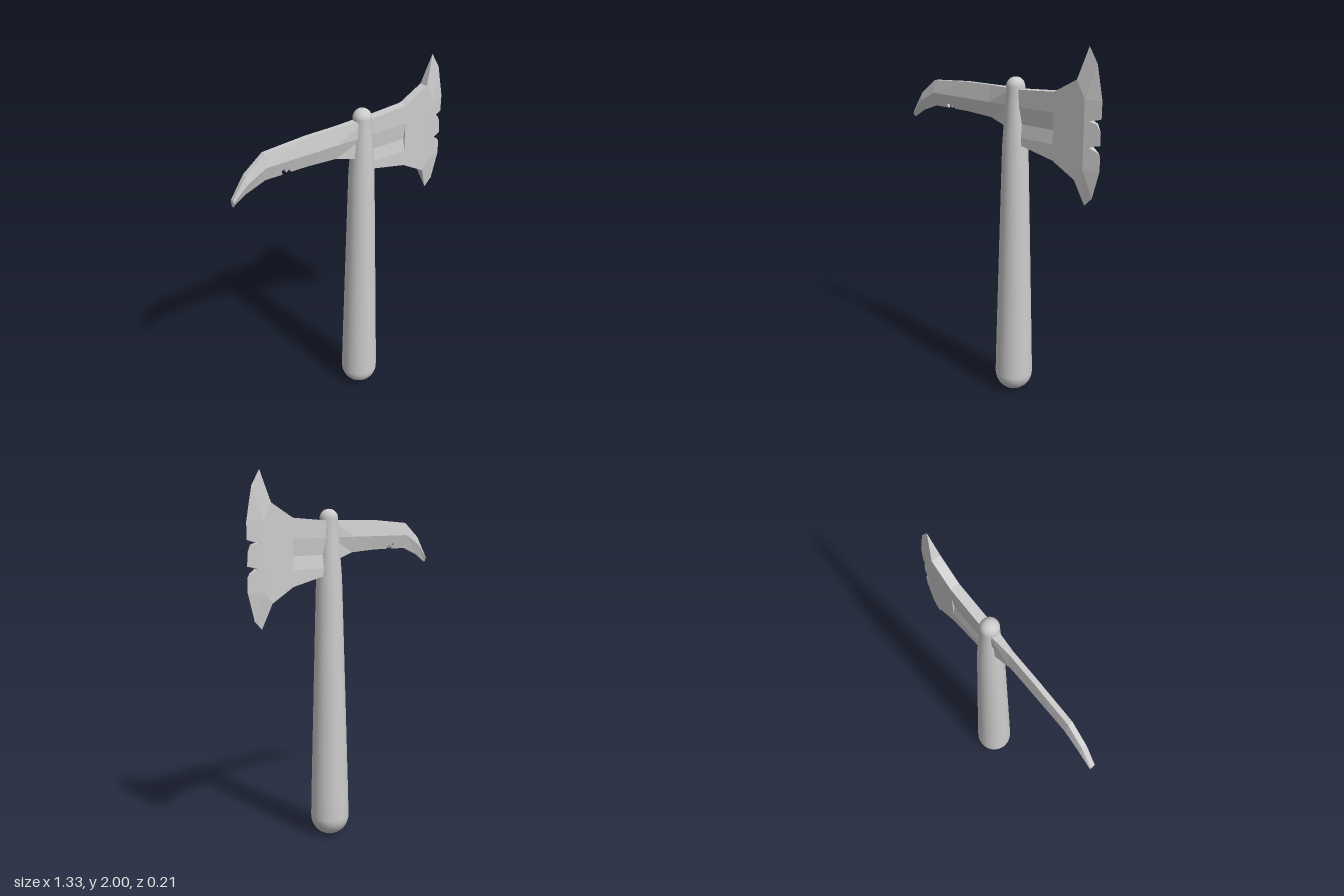
import * as THREE from 'three';

const H = 0.026; // half thickness of the head

// Facets given counter-clockwise as [x, y, half thickness]: front, mirrored back, and rim walls
function plateGeometry(patches) {
  const out = [];
  const key = (p, q) => p.join() + '|' + q.join();
  const edges = new Set();
  const each = (pts, fn) => pts.forEach((p, i) => fn(p, pts[(i + 1) % pts.length]));
  const back = (p) => [p[0], p[1], -p[2]];
  const tri = (a, b, c) => out.push(...a, ...b, ...c);
  patches.forEach((pts) => each(pts, (p, q) => edges.add(key(p, q))));
  patches.forEach((pts) => {
    const contour = pts.map((p) => new THREE.Vector2(p[0], p[1]));
    const faces = pts.length === 3 ? [[0, 1, 2]] : THREE.ShapeUtils.triangulateShape(contour, []);
    faces.forEach(([i, j, k]) => {
      tri(pts[i], pts[j], pts[k]);
      tri(back(pts[i]), back(pts[k]), back(pts[j]));
    });
    each(pts, (p, q) => {
      if (edges.has(key(q, p)) || (p[2] === 0 && q[2] === 0)) return;
      tri(p, back(p), back(q));
      tri(p, back(q), q);
    });
  });
  const g = new THREE.BufferGeometry();
  g.setAttribute('position', new THREE.Float32BufferAttribute(out, 3));
  g.computeVertexNormals();
  return g;
}

export function createModel() {
  const group = new THREE.Group();
  const grey = new THREE.MeshStandardMaterial({ color: 0xcccccc });
  grey.name = 'plain grey';
  const add = (name, geometry) => {
    const m = new THREE.Mesh(geometry, grey);
    m.name = name;
    group.add(m);
    return m;
  };

  // Tapered handle with rounded ends
  const profile = [];
  for (let i = 0; i <= 8; i++) {
    const a = (i / 8) * Math.PI / 2;
    profile.push(new THREE.Vector2(0.106 * Math.sin(a), 0.106 * (1 - Math.cos(a))));
  }
  [[0.103, 0.25], [0.088, 0.8], [0.077, 1.2], [0.07, 1.45], [0.054, 1.66], [0.05, 1.72]]
    .forEach(([r, y]) => profile.push(new THREE.Vector2(r, y)));
  for (let i = 0; i <= 8; i++) {
    const a = (i / 8) * Math.PI / 2;
    profile.push(new THREE.Vector2(0.05 * Math.cos(a), 1.76 + 0.05 * Math.sin(a)));
  }
  add('handle', new THREE.LatheGeometry(profile, 32)).position.x = 0.117;

  // Axe blade: flat cheeks, shallow groove, bevelled notched edge and two horns
  const flat = (...pts) => pts.map(([x, y]) => [x, y, H]);
  const bevel = (x, y) => [x, y, H * (0.665 - x) / 0.085];
  const g0 = [0.117, 1.57, 0.016], g1 = [0.39, 1.57, 0.016];
  const blade = [
    flat([0.117, 1.66], [0.39, 1.66], [0.39, 1.765], [0.17, 1.75], [0.117, 1.75]),
    [g0, g1, [0.39, 1.66, H], [0.117, 1.66, H]],
    [[0.117, 1.5, H], [0.39, 1.5, H], g1, g0],
    [[0.39, 1.66, H], g1, [0.39, 1.5, H]],
    flat([0.117, 1.47], [0.17, 1.46], [0.39, 1.415], [0.39, 1.5], [0.117, 1.5]),
    flat([0.39, 1.415], [0.53, 1.34], [0.58, 1.4], [0.58, 1.75],
      [0.53, 1.84], [0.39, 1.765], [0.39, 1.66], [0.39, 1.5]),
    [[0.58, 1.4], [0.665, 1.4], [0.665, 1.475], [0.65, 1.495], [0.61, 1.515], [0.625, 1.522],
      [0.665, 1.53], [0.66, 1.6], [0.64, 1.635], [0.6, 1.645], [0.63, 1.65], [0.665, 1.66],
      [0.665, 1.75], [0.58, 1.75]].map(([x, y]) => bevel(x, y)),
    [[0.53, 1.84, H], [0.58, 1.75, H], [0.58, 2, 0]],
    [[0.58, 1.75, H], [0.665, 1.75, 0], [0.63, 1.92, 0], [0.58, 2, 0]],
    [[0.53, 1.34, H], [0.58, 1.21, 0], [0.58, 1.4, H]],
    [[0.58, 1.4, H], [0.58, 1.21, 0], [0.625, 1.255, 0], [0.665, 1.4, 0]],
  ];
  add('blade', plateGeometry(blade));

  // Curved pick: columns of top, ridge and lower edge, running out to the tip
  const T = 0.013, L = 0.005;
  const columns = [
    [[0.117, 1.75, H], [0.117, 1.66, H], [0.117, 1.53, H]],
    [[-0.05, 1.75, T], [-0.05, 1.66, H], [-0.05, 1.575, L]],
    [[-0.23, 1.748, T], [-0.23, 1.66, H], [-0.23, 1.585, L]],
    [[-0.48, 1.73, T], [-0.48, 1.66, H], [-0.48, 1.585, L]],
    [[-0.59, 1.645, T], [-0.59, 1.6, 0.024], [-0.59, 1.545, L]],
    [[-0.667, 1.533, 0.01], [-0.667, 1.52, 0.016], [-0.667, 1.497, L]],
  ];
  // Nicks in the lower edge, from tip side to handle side
  const nicks = [[-0.38, 1.585, L], [-0.387, 1.605, 0.01], [-0.372, 1.622, 0.015], [-0.365, 1.6, 0.009],
    [-0.355, 1.588, 0.006], [-0.345, 1.61, 0.012], [-0.337, 1.595, 0.008], [-0.325, 1.585, L]];
  const pick = [];
  for (let i = 0; i < columns.length - 1; i++) {
    const r = columns[i], l = columns[i + 1];
    pick.push([l[1], r[1], r[0], l[0]]);
    pick.push([l[2], ...(i === 2 ? nicks : []), r[2], r[1], l[1]]);
  }
  add('pick', plateGeometry(pick));

  return group;
}
